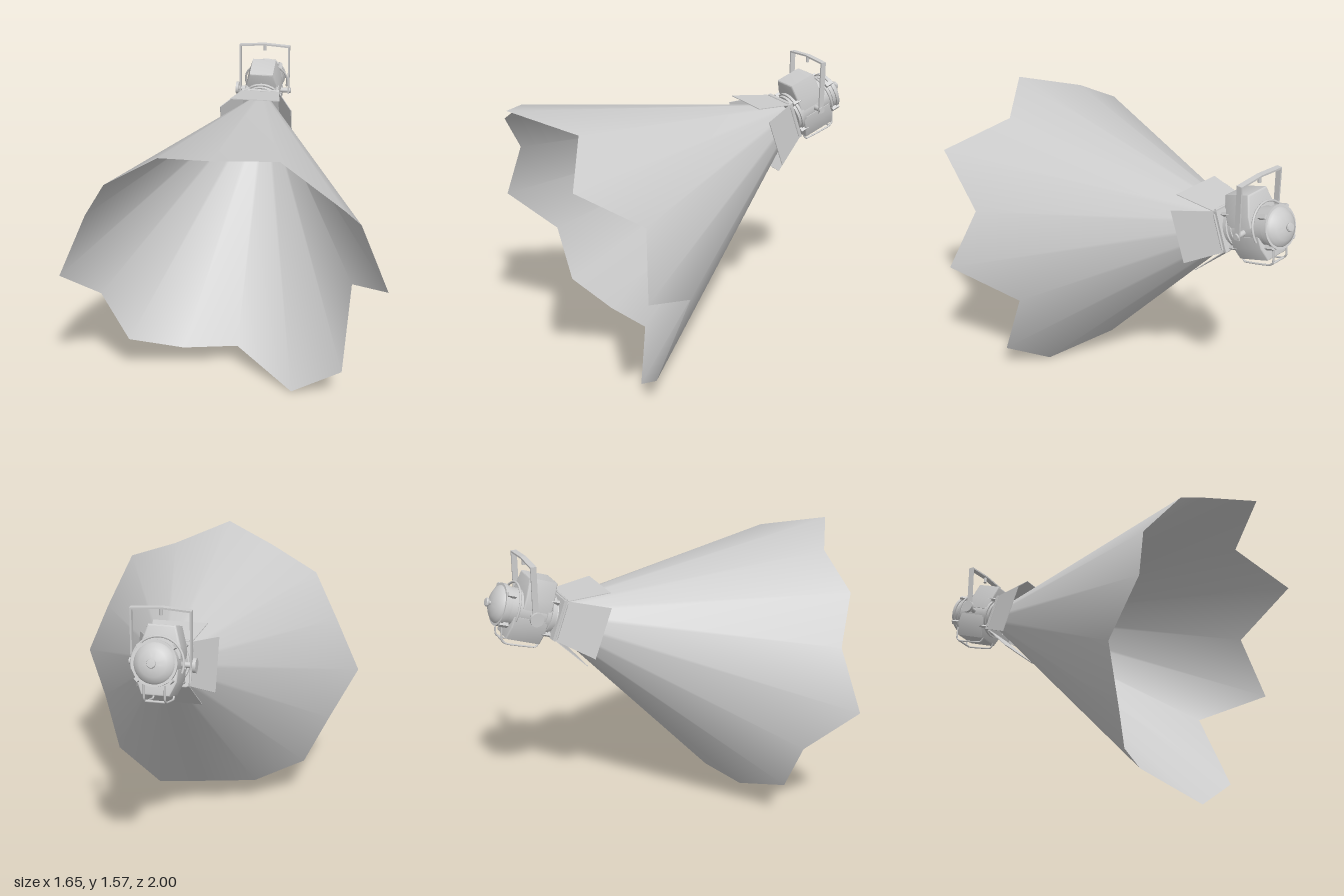
import * as THREE from 'three';
import { toCreasedNormals } from 'three/addons/utils/BufferGeometryUtils.js';

const V = (x, y, z) => new THREE.Vector3(x, y, z);

export function createModel() {
  const model = new THREE.Group();
  model.name = 'spotlight';
  const grey = new THREE.MeshStandardMaterial({ color: 0xcccccc });
  grey.name = 'grey';
  const sheet = new THREE.MeshStandardMaterial({ color: 0xcccccc, side: THREE.DoubleSide });
  sheet.name = 'grey sheet';

  const add = (parent, name, geometry, material = grey) => {
    const mesh = new THREE.Mesh(geometry, material);
    mesh.name = name;
    parent.add(mesh);
    return mesh;
  };
  const box = (parent, name, size, pos) => {
    const mesh = add(parent, name, new THREE.BoxGeometry(...size));
    mesh.position.set(...pos);
    return mesh;
  };
  const tube = (parent, name, points, radius) => {
    const curve = new THREE.CatmullRomCurve3(points, false, 'catmullrom', 0.2);
    return add(parent, name, new THREE.TubeGeometry(curve, 32, radius, 8));
  };
  // Turned part along the lamp axis, from [radius, z] pairs running back to front
  const turned = (name, pairs, segments = 32) => {
    const g = new THREE.LatheGeometry(pairs.map(p => new THREE.Vector2(...p)), segments);
    g.rotateX(Math.PI / 2);
    return add(lamp, name, toCreasedNormals(g, 0.6));
  };

  // Lamp frame: +z runs down the beam, tilted towards the floor
  const lamp = new THREE.Group();
  lamp.name = 'lamp';
  lamp.position.set(0.01, 1.235, -0.66);
  lamp.rotation.x = THREE.MathUtils.degToRad(20);
  model.add(lamp);

  // Light beam: open sixteen-sided cone with a ragged end
  const rim = [0.84, 0.73, 0.849, 0.72, 0.815, 0.671, 0.842, 0.849,
    0.724, 0.757, 0.799, 0.758, 0.84, 0.758, 0.785, 0.757];
  const n = rim.length, r0 = 0.06, pos = [], index = [];
  rim.forEach((r, i) => {
    const a = i * 2 * Math.PI / n, j = (i + 1) % n;
    pos.push(r0 * Math.sin(a), r0 * Math.cos(a), 0);
    pos.push(r * Math.sin(a), r * Math.cos(a), (r - r0) / 0.534);
    index.push(2 * i, 2 * i + 1, 2 * j + 1, 2 * i, 2 * j + 1, 2 * j);
  });
  for (let k = 0; k < index.length; k += 3) [index[k + 1], index[k + 2]] = [index[k + 2], index[k + 1]];
  const beam = new THREE.BufferGeometry();
  beam.setAttribute('position', new THREE.Float32BufferAttribute(pos, 3));
  beam.setIndex(index);
  // The winding must face outwards
  const outward = V(pos[3], pos[4], 0).add(V(pos[9], pos[10], 0));
  beam.computeVertexNormals();
  const nrm = beam.attributes.normal;
  if (nrm.getX(1) * outward.x + nrm.getY(1) * outward.y < 0) {
    beam.setIndex(index.slice().reverse());
    beam.computeVertexNormals();
  }
  add(lamp, 'lightBeam', beam, sheet);
  add(lamp, 'lens', new THREE.CircleGeometry(r0, 32)).position.z = 0.002;

  // Body, stepped front collar, rear cap and knob
  turned('body', [[0, -0.27], [0.098, -0.27], [0.098, -0.03], [0, -0.03]]);
  turned('frontCollar', [[0, -0.055], [0.105, -0.055], [0.105, -0.035], [0.115, -0.035],
    [0.115, -0.02], [0.106, -0.02], [0.106, -0.005], [0, -0.005]]);
  turned('rearCap', [[0, -0.328], [0.035, -0.325], [0.065, -0.316], [0.09, -0.3],
    [0.097, -0.288], [0.109, -0.288], [0.109, -0.27], [0.102, -0.27], [0.102, -0.25], [0, -0.25]]);
  turned('rearKnob', [[0, -0.356], [0.02, -0.354], [0.023, -0.347], [0.02, -0.34],
    [0.009, -0.336], [0.009, -0.32], [0, -0.32]], 16);

  // Vent housings above and below the body
  for (const [name, side, height, back, front] of [
    ['topHousing', 1, 0.18, -0.19, -0.035], ['bottomHousing', -1, 0.152, -0.225, -0.035]]) {
    const b = 0.008, y = height - b;
    const shape = new THREE.Shape([[-0.092, 0.03], [0.092, 0.03], [0.09, 0.08], [0.062, y], [-0.062, y], [-0.09, 0.08]]
      .map(p => new THREE.Vector2(...p)));
    const g = new THREE.ExtrudeGeometry(shape, {
      depth: front - back - 2 * b, bevelThickness: b, bevelSize: b, bevelSegments: 3 });
    g.translate(0, 0, -(front - back) / 2 + b);
    if (side < 0) g.rotateZ(Math.PI);
    add(lamp, name, toCreasedNormals(g, 0.6)).position.z = (front + back) / 2;
  }

  // Square gel frame holding the four barn doors
  const frame = new THREE.Shape([[-0.108, -0.108], [0.108, -0.108], [0.108, 0.108], [-0.108, 0.108]]
    .map(p => new THREE.Vector2(...p)));
  frame.holes.push(new THREE.Path().absarc(0, 0, 0.088, 0, 2 * Math.PI, true));
  add(lamp, 'gelFrame', new THREE.ExtrudeGeometry(frame, { depth: 0.02, bevelEnabled: false, curveSegments: 24 }))
    .position.z = 0.008;
  const door = new THREE.Shape([[-0.108, 0], [0.108, 0], [0.14, 0.218], [-0.14, 0.218]]
    .map(p => new THREE.Vector2(...p)));
  ['topDoor', 'rightDoor', 'bottomDoor', 'leftDoor'].forEach((name, i) => {
    const pivot = new THREE.Group();
    pivot.name = name;
    pivot.rotation.z = i * Math.PI / 2;
    lamp.add(pivot);
    const panel = add(pivot, name + 'Panel', new THREE.ExtrudeGeometry(door, { depth: 0.004, bevelEnabled: false }));
    panel.position.set(0, 0.11, 0.028);
    panel.rotation.x = Math.PI / 2 - 0.445;
    const hinge = add(pivot, name + 'Hinge', new THREE.CylinderGeometry(0.006, 0.006, 0.19, 8));
    hinge.rotation.z = Math.PI / 2;
    hinge.position.set(0, 0.11, 0.026);
  });

  // Clips and latches round the collar and cap
  for (let i = 0; i < 4; i++) {
    const a = Math.PI / 4 + i * Math.PI / 2, c = Math.cos(a), s = Math.sin(a);
    box(lamp, 'collarClip', [0.024, 0.014, 0.05], [0.12 * c, 0.12 * s, -0.032]).rotation.z = a;
    box(lamp, 'capLatch', [0.02, 0.022, 0.045], [0.11 * c, 0.11 * s, -0.262]).rotation.z = a;
  }

  // Curved strap over the rear and wire handle beneath
  const strap = add(lamp, 'rearStrap', new THREE.TorusGeometry(0.125, 0.006, 8, 40, Math.PI * 1.2));
  strap.rotation.z = -Math.PI * 0.1;
  strap.position.z = -0.222;
  for (const x of [-1, 1]) {
    tube(lamp, 'handleRod', [V(x * 0.05, -0.14, -0.035), V(x * 0.05, -0.174, -0.05),
      V(x * 0.05, -0.182, -0.2), V(x * 0.05, -0.168, -0.235), V(x * 0.05, -0.1, -0.255)], 0.005);
  }
  tube(lamp, 'handleGrip', [V(-0.05, -0.18, -0.215), V(0.05, -0.18, -0.215)], 0.006);

  // Upright yoke with a slightly arched top bar
  const yoke = new THREE.Group();
  yoke.name = 'yoke';
  yoke.position.set(0.01, 1.28, -0.785);
  model.add(yoke);
  const bar = new THREE.Shape([[-0.148, -0.02], [-0.148, 0.27], [0, 0.28], [0.148, 0.27], [0.148, -0.02],
    [0.139, -0.02], [0.139, 0.261], [0, 0.271], [-0.139, 0.261], [-0.139, -0.02]].map(p => new THREE.Vector2(...p)));
  const barGeometry = new THREE.ExtrudeGeometry(bar, { depth: 0.03, bevelEnabled: false });
  add(yoke, 'yokeBar', barGeometry.translate(0, 0, -0.015));
  add(yoke, 'hangingBolt', new THREE.CylinderGeometry(0.009, 0.009, 0.035, 12)).position.y = 0.256;
  const disc = (name, radius, length, x) => {
    const mesh = add(yoke, name, new THREE.CylinderGeometry(radius, radius, length, 20));
    mesh.rotation.z = Math.PI / 2;
    mesh.position.x = x;
  };
  for (const x of [-1, 1]) disc('pivot', 0.014, 0.07, x * 0.118);
  disc('tiltKnob', 0.036, 0.016, -0.161);
  disc('pivotNut', 0.016, 0.01, 0.152);

  return model;
}
